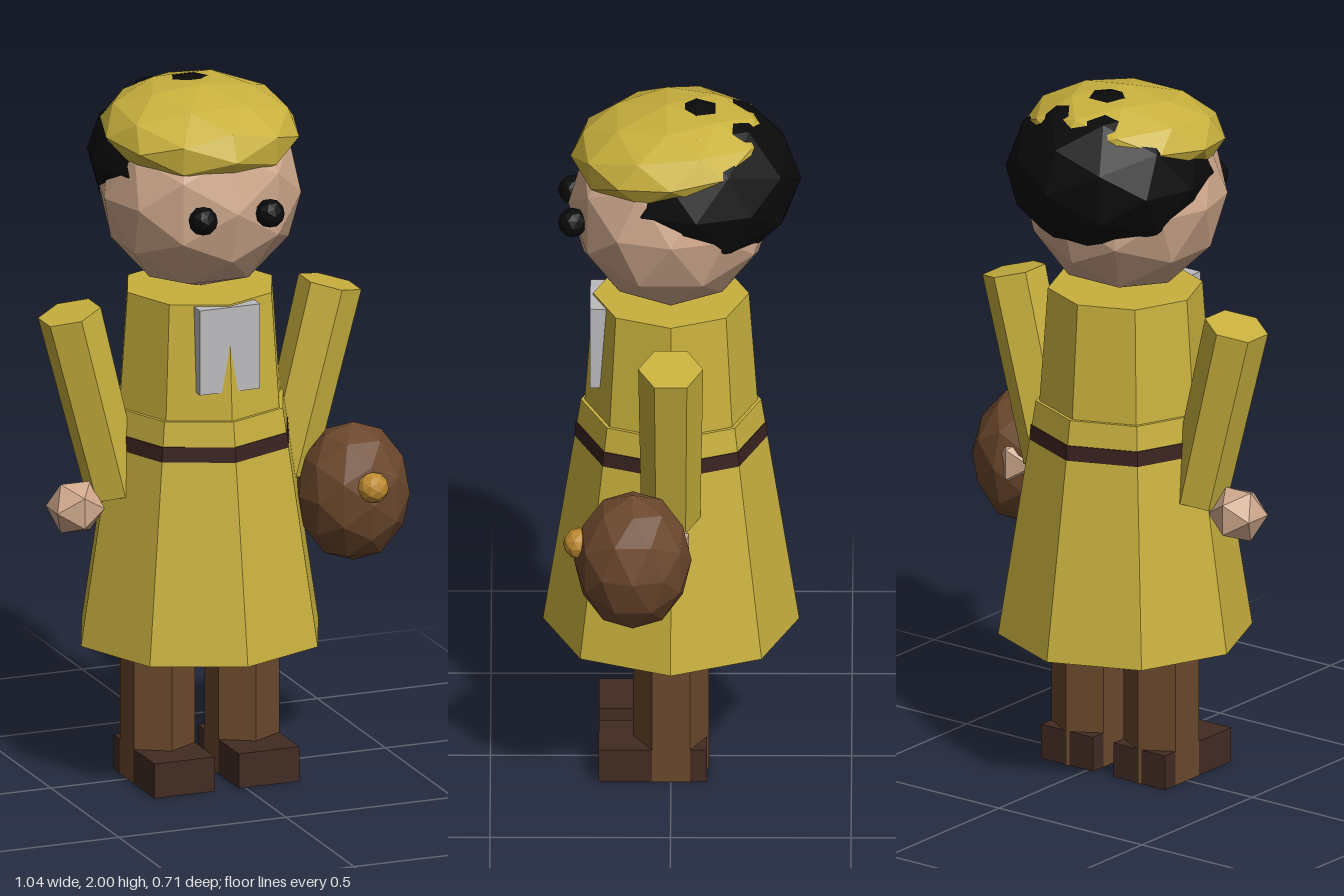
import * as THREE from 'three';

const paint = (name, color) => {
  const m = new THREE.MeshStandardMaterial({ color, flatShading: true });
  m.name = name;
  return m;
};

export function createModel() {
  const yellow = paint('yellow cloth', 0xc9b13e);
  const skin = paint('skin', 0xcfa88c);
  const black = paint('black', 0x0a0a0a);
  const legBrown = paint('leg brown', 0x6a482c);
  const bootBrown = paint('boot brown', 0x422b23);
  const beltBrown = paint('belt brown', 0x3a2320);
  const shieldBrown = paint('shield brown', 0x6b472c);
  const gold = paint('gold', 0xbd8a30);
  const grey = paint('grey cloth', 0xbcbcbe);

  const model = new THREE.Group();
  // The figure stands slightly to one side because of the shield
  const figure = new THREE.Group();
  figure.name = 'figure';
  figure.position.x = -0.055;
  model.add(figure);

  const add = (name, geometry, material, x, y, z) => {
    const mesh = new THREE.Mesh(geometry, material);
    mesh.name = name;
    mesh.position.set(x, y, z);
    figure.add(mesh);
    return mesh;
  };
  // Upright faceted tube between two heights
  const tube = (name, material, rTop, rBottom, y0, y1, sides, x = 0) =>
    add(name, new THREE.CylinderGeometry(rTop, rBottom, y1 - y0, sides), material, x, (y0 + y1) / 2, 0);
  // Faceted ball with its own radius on each axis
  const ball = (name, material, x, y, z, rx, ry = rx, rz = rx, detail = 1) =>
    add(name, new THREE.IcosahedronGeometry(1, detail).scale(rx, ry, rz), material, x, y, z);

  // Tunic
  tube('skirt', yellow, 0.25, 0.355, 0.4, 1.08, 8);
  tube('torso', yellow, 0.216, 0.241, 1.06, 1.41, 8);
  tube('belt', beltBrown, 0.264, 0.268, 0.96, 1.01, 8);
  add('neckCloth', new THREE.BoxGeometry(0.18, 0.245, 0.06), grey, 0, 1.2825, 0.194);

  // Head, hair and cap
  ball('head', skin, 0, 1.69, 0, 0.285);
  ball('hair', black, 0, 1.77, -0.07, 0.29, 0.23, 0.29);
  ball('cap', yellow, 0, 1.865, 0, 0.28, 0.13, 0.28).rotation.x = 0.1;

  for (const side of [-1, 1]) {
    const prefix = side > 0 ? 'left' : 'right';
    ball(prefix + 'Eye', black, side * 0.1, 1.68, 0.272, 0.041);

    // Arms lean outward at the top
    const arm = add(prefix + 'Arm', new THREE.CylinderGeometry(0.09, 0.082, 0.545, 6), yellow, side * 0.322, 1.107, 0);
    arm.rotation.z = -side * 0.25;
    ball(prefix + 'Hand', skin, side * 0.38, 0.812, 0.02, 0.083, 0.083, 0.083, 0);

    // Legs and boots
    tube(prefix + 'Leg', legBrown, 0.105, 0.105, 0, 0.45, 6, side * 0.126);
    add(prefix + 'Boot', new THREE.BoxGeometry(0.181, 0.1, 0.3), bootBrown, side * 0.126, 0.05, 0.05);
  }

  // Round shield with its boss
  ball('shield', shieldBrown, 0.415, 0.792, 0.105, 0.16, 0.2, 0.163);
  ball('shieldBoss', gold, 0.415, 0.843, 0.254, 0.044);

  return model;
}
